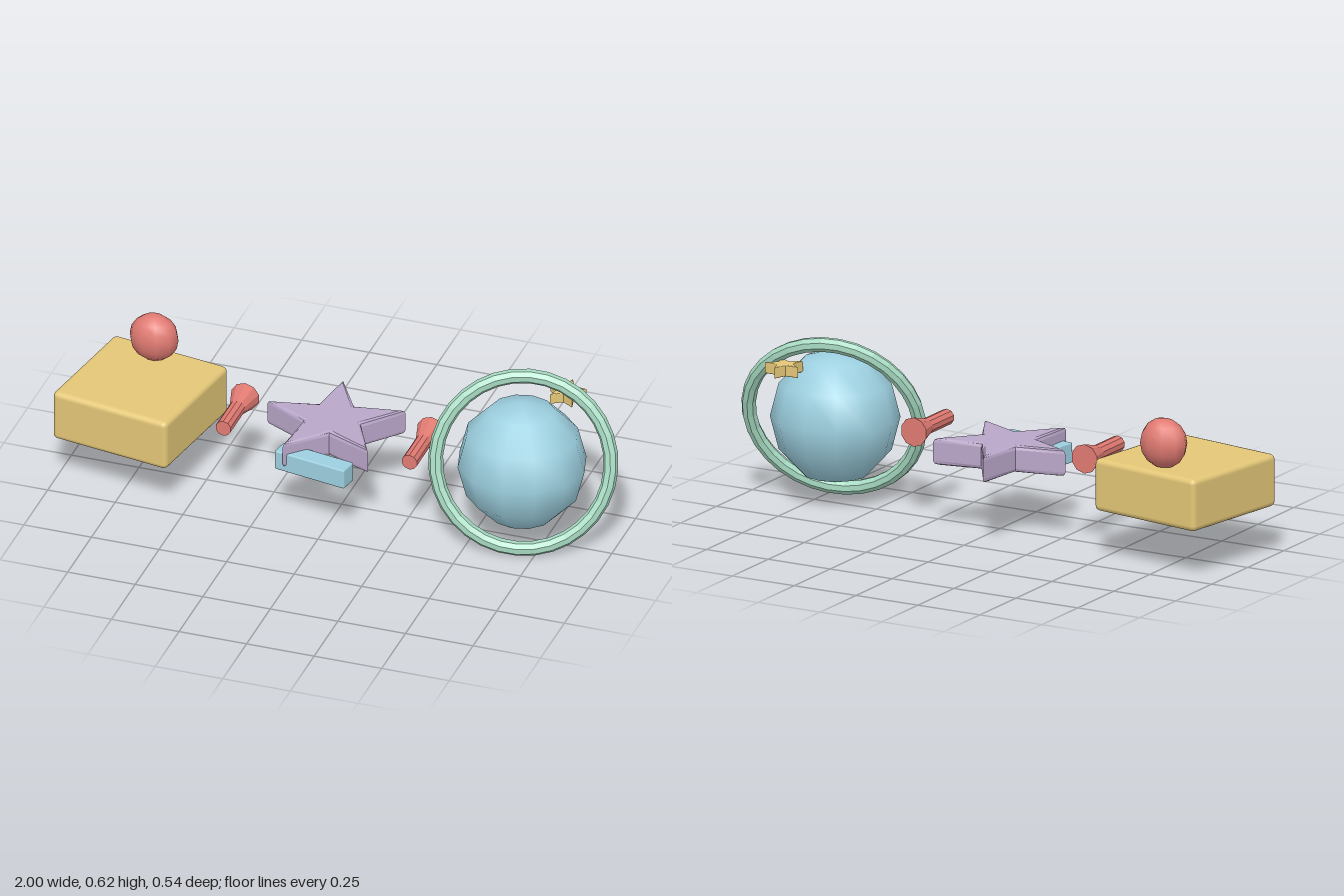
import * as THREE from 'three';
import { RoundedBoxGeometry } from 'three/addons/geometries/RoundedBoxGeometry.js';

const paint = (color, flatShading = false) => {
  const m = new THREE.MeshStandardMaterial({ color });
  m.flatShading = flatShading;
  return m;
};
const yellow = paint(0xe3c677);
const red = paint(0xe07a72);
const redFlat = paint(0xe07a72, true);
const blue = paint(0x9dd0e0);
const green = paint(0xa5d8c0, true);
const purple = paint(0xb9a6c9);

// Flat five-pointed star lying in the xz plane, centred on its own origin
function starGeometry(outer, inner, height, bevel, startAngle) {
  const points = [];
  for (let i = 0; i < 10; i++) {
    const r = i % 2 ? inner : outer;
    const a = startAngle + (i * Math.PI) / 5;
    points.push(new THREE.Vector2(r * Math.cos(a), r * Math.sin(a)));
  }
  const geometry = new THREE.ExtrudeGeometry(new THREE.Shape(points), {
    depth: height - 2 * bevel,
    bevelThickness: bevel,
    bevelSize: bevel,
    bevelOffset: -bevel,
    bevelSegments: 2,
  });
  geometry.translate(0, 0, -(height - 2 * bevel) / 2);
  return geometry.rotateX(Math.PI / 2);
}

export function createModel() {
  const model = new THREE.Group();
  const add = (name, geometry, material, x, y, z, parent = model) => {
    const mesh = new THREE.Mesh(geometry, material);
    mesh.name = name;
    mesh.position.set(x, y, z);
    parent.add(mesh);
    return mesh;
  };

  // Large block with a flattened ball on top
  const block = add('block', new RoundedBoxGeometry(0.455, 0.19, 0.455, 2, 0.02), yellow, -0.743, 0.275, 0.007);
  block.rotation.y = -0.165;
  const ball = add('ball', new THREE.SphereGeometry(0.09, 10, 8), red, -0.745, 0.455, -0.145);
  ball.scale.z = 0.74;

  // Two pegs, each a shaft flaring into a cone at the back
  for (const x of [-0.382, 0.307]) {
    const peg = new THREE.Group();
    peg.name = 'peg';
    peg.position.set(x, 0.327, 0);
    const shaft = new THREE.CylinderGeometry(0.029, 0.029, 0.16, 10).rotateX(Math.PI / 2);
    add('pegShaft', shaft, redFlat, 0, 0, 0.08, peg);
    const flare = new THREE.CylinderGeometry(0.029, 0.053, 0.085, 10).rotateX(Math.PI / 2);
    add('pegFlare', flare, redFlat, 0, 0, -0.029, peg);
    model.add(peg);
  }

  // Big star and the bar in front of it
  add('bigStar', starGeometry(0.256, 0.108, 0.096, 0.014, 0.74), purple, -0.038, 0.293, -0.021);
  const bar = add('bar', new RoundedBoxGeometry(0.28, 0.074, 0.07, 1, 0.006), blue, -0.038, 0.258, 0.183);
  bar.rotation.y = -0.18;

  // Planet with a tilted ring
  const planet = add('planet', new THREE.SphereGeometry(0.24, 12, 6), blue, 0.67, 0.315, 0.007);
  planet.scale.set(0.96, 1, 0.92);
  const ring = add('planetRing', new THREE.TorusGeometry(0.307, 0.026, 8, 32), green, 0.675, 0.315, 0.008);
  ring.quaternion.setFromUnitVectors(new THREE.Vector3(0, 0, 1), new THREE.Vector3(0.25, 0.35, 0.9).normalize());

  // Small star behind the planet
  add('smallStar', starGeometry(0.07, 0.032, 0.04, 0.004, -Math.PI / 2), yellow, 0.773, 0.515, -0.168);

  return model;
}
